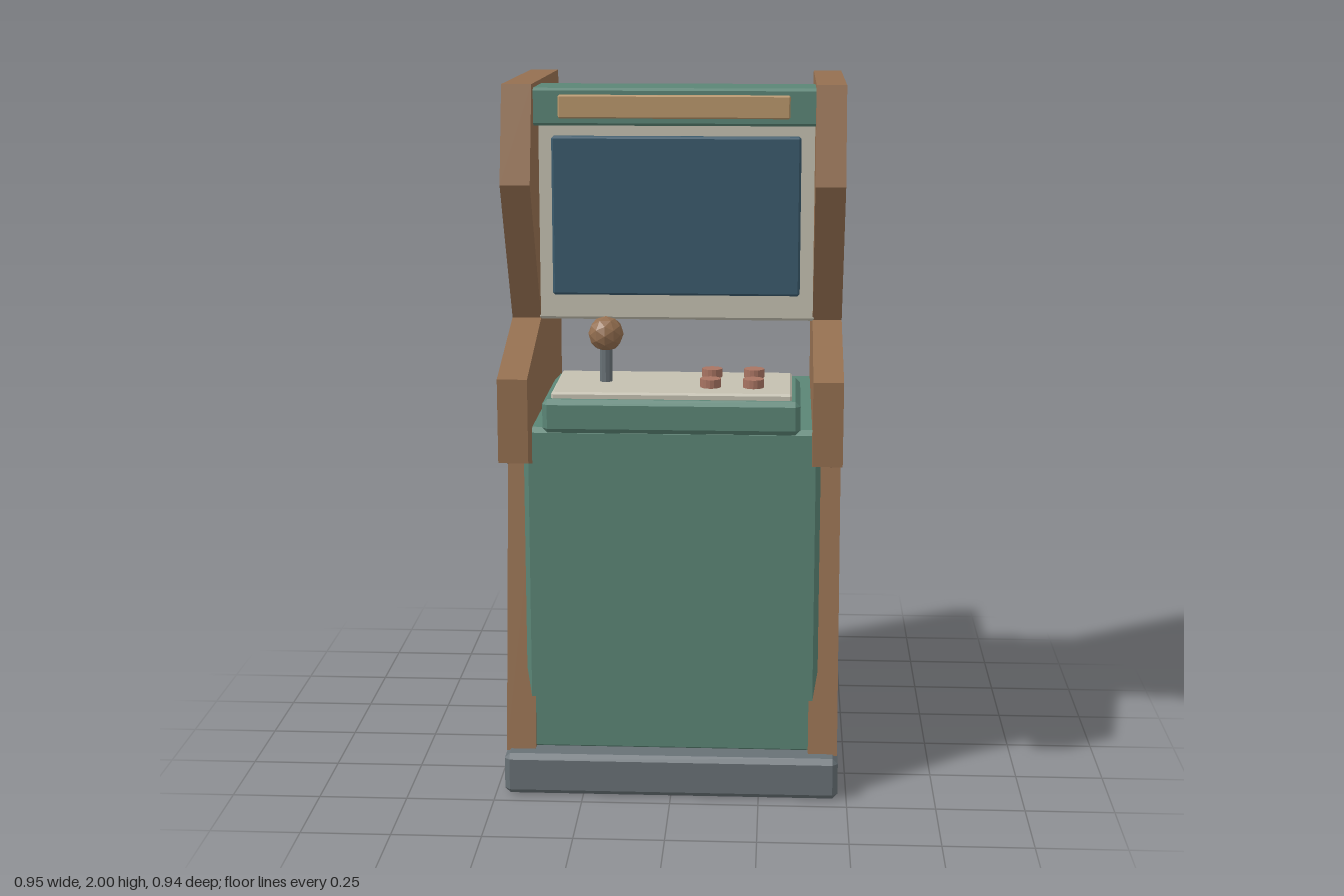
import * as THREE from 'three';
import { ConvexGeometry } from 'three/addons/geometries/ConvexGeometry.js';

const material = (color) => new THREE.MeshStandardMaterial({ color, flatShading: true });

// Box with chamfered edges, given by its [min, max] on each axis
function chamferBox([x0, x1], [y0, y1], [z0, z1], c) {
  const half = [(x1 - x0) / 2, (y1 - y0) / 2, (z1 - z0) / 2];
  const points = [];
  for (const sx of [-1, 1]) for (const sy of [-1, 1]) for (const sz of [-1, 1]) {
    for (let axis = 0; axis < 3; axis++) {
      const p = half.map((h, i) => (i === axis ? h : h - c));
      points.push(new THREE.Vector3(sx * p[0], sy * p[1], sz * p[2]));
    }
  }
  return new ConvexGeometry(points).translate((x0 + x1) / 2, (y0 + y1) / 2, (z0 + z1) / 2);
}

export function createModel() {
  const model = new THREE.Group();
  model.name = 'arcadeCabinet';

  const wood = material(0x946f50);
  const green = material(0x5b8576);
  const cream = material(0xc4c0b0);
  const metal = material(0x687176);
  const glass = material(0x3a5a6c);
  const amber = material(0xb8966a);
  const red = material(0xa87462);

  function add(name, geometry, mat, parent = model) {
    const mesh = new THREE.Mesh(geometry, mat);
    mesh.name = name;
    parent.add(mesh);
    return mesh;
  }
  const addBox = (name, halfWidth, y, z, chamfer, mat) =>
    add(name, chamferBox([-halfWidth, halfWidth], y, z, chamfer), mat);

  // Plinth and lower body
  addBox('base', 0.475, [0, 0.12], [-0.475, 0.455], 0.015, metal);
  addBox('lowerBody', 0.415, [0.11, 1.06], [-0.395, 0.38], 0.014, green);

  // Side panels, outlined in (z, y)
  const outline = [
    [-0.42, 0.115], [0.406, 0.115], [0.27, 0.93], [0.47, 0.98], [0.47, 1.215],
    [0.115, 1.325], [0.34, 1.73], [0.27, 2], [-0.42, 2],
  ];
  const profile = new THREE.Shape(outline.map(([z, y]) => new THREE.Vector2(-z, y)));
  const thickness = 0.083;
  const panel = new THREE.ExtrudeGeometry(profile, { depth: thickness, bevelEnabled: false });
  panel.rotateY(Math.PI / 2);
  add('leftSidePanel', panel, wood).position.x = 0.39;
  add('rightSidePanel', panel, wood).position.x = -0.39 - thickness;

  // Screen housing and screen
  addBox('screenHousing', 0.4, [1.322, 1.888], [-0.175, 0.12], 0.008, cream);
  addBox('screen', 0.352, [1.397, 1.847], [0.09, 0.145], 0.006, glass);

  // Header box with its light strip
  addBox('header', 0.4, [1.885, 1.988], [0.03, 0.24], 0.007, green);
  addBox('headerStrip', 0.32, [1.906, 1.97], [0.22, 0.257], 0.004, amber);

  // Control deck and its top plate
  addBox('controlDeck', 0.357, [1.053, 1.148], [0.06, 0.42], 0.014, green);
  addBox('controlPlate', 0.333, [1.14, 1.166], [0.09, 0.398], 0.006, cream);

  // Joystick
  const joystick = new THREE.Group();
  joystick.name = 'joystick';
  joystick.position.set(-0.193, 1.16, 0.235);
  model.add(joystick);
  add('joystickShaft', new THREE.CylinderGeometry(0.018, 0.018, 0.12, 10), metal, joystick).position.y = 0.06;
  add('joystickBall', new THREE.IcosahedronGeometry(0.05, 1), wood, joystick).position.y = 0.142;

  // Buttons in two rows
  const button = new THREE.CylinderGeometry(0.029, 0.029, 0.03, 16);
  for (const x of [0.105, 0.225]) {
    for (const z of [0.302, 0.158]) add('button', button, red).position.set(x, 1.175, z);
  }

  return model;
}
